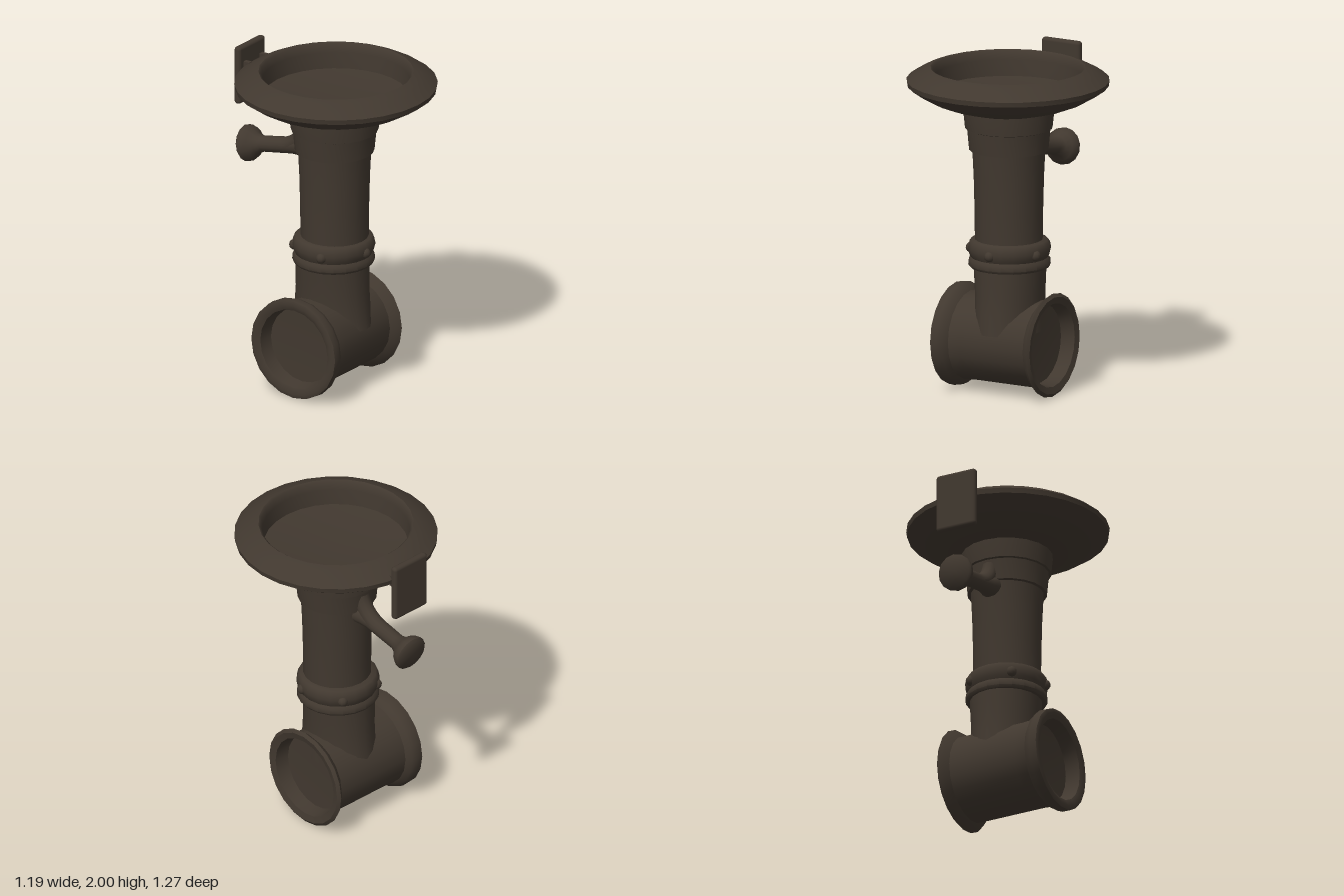
import * as THREE from 'three';
import { toCreasedNormals } from 'three/addons/utils/BufferGeometryUtils.js';
import { RoundedBoxGeometry } from 'three/addons/geometries/RoundedBoxGeometry.js';

const iron = new THREE.MeshStandardMaterial({ color: 0x41382f });
iron.name = 'dark iron';

export function createModel() {
  const model = new THREE.Group();
  model.name = 'pipeFountain';

  const add = (name, geometry, x = 0, y = 0, z = 0) => {
    const mesh = new THREE.Mesh(geometry, iron);
    mesh.name = name;
    mesh.position.set(x, y, z);
    model.add(mesh);
    return mesh;
  };
  // Turned solid from [radius, height] pairs, listed along the outside
  const turned = (profile, sides) => new THREE.LatheGeometry(profile.map(([r, y]) => new THREE.Vector2(r, y)), sides);
  const crease = (g) => toCreasedNormals(g, 0.75);

  // Horizontal tee pipe with flanged, recessed ends
  const tee = turned([
    [0, -0.27], [0.23, -0.28], [0.245, -0.365], [0.28, -0.38], [0.305, -0.372], [0.308, -0.33],
    [0.295, -0.30], [0.265, -0.275], [0.26, -0.2], [0.26, 0.23], [0.29, 0.255], [0.31, 0.28],
    [0.29, 0.295], [0.25, 0.285], [0.235, 0.2], [0, 0.19],
  ], 20);
  tee.rotateZ(-Math.PI / 2);
  add('teePipe', crease(tee), 0, 0.31, 0);

  // Neck, widening front to back where it meets the tee
  const neck = turned([[0.198, 0.38], [0.198, 0.5], [0.2, 0.6], [0.208, 0.7], [0.215, 0.8]], 20);
  const p = neck.attributes.position;
  for (let i = 0; i < p.count; i++) p.setZ(i, p.getZ(i) * (1 + 0.6 * Math.max(0, 0.8 - p.getY(i))));
  neck.computeVertexNormals();
  add('neck', crease(neck), 0, 0, 0.012);

  // Bolted collar
  add('collar', crease(turned([
    [0.19, 0.755], [0.232, 0.76], [0.243, 0.775], [0.24, 0.805], [0.228, 0.82],
    [0.238, 0.84], [0.245, 0.87], [0.238, 0.905], [0.225, 0.922], [0.19, 0.93],
  ], 20)), 0, 0, 0.02);
  for (let i = 0; i < 5; i++) {
    const a = (i / 5) * Math.PI * 2;
    add('collarBolt', new THREE.SphereGeometry(0.032, 10, 8), Math.sin(a) * 0.23, 0.86, 0.02 + Math.cos(a) * 0.23);
  }

  // Column with two stepped sleeves under the basin
  add('column', crease(turned([
    [0.2, 0.9], [0.202, 1.1], [0.207, 1.3], [0.215, 1.462], [0.234, 1.465],
    [0.246, 1.592], [0.258, 1.597], [0.27, 1.71], [0.27, 1.74],
  ], 20)), 0, 0, 0.027);

  // Wide basin with a thick rim and a shallow bowl
  add('basin', crease(turned([
    [0.22, 1.695], [0.29, 1.715], [0.38, 1.74], [0.46, 1.772], [0.53, 1.812], [0.592, 1.855],
    [0.597, 1.885], [0.55, 1.917], [0.49, 1.948], [0.455, 1.96], [0.443, 1.95],
    [0.435, 1.9], [0.425, 1.805], [0.3, 1.79], [0, 1.775],
  ], 28)), 0, 0, 0.037);

  // Upright plate behind the rim, on two small feet
  add('backPlate', new RoundedBoxGeometry(0.262, 0.36, 0.046, 2, 0.02), -0.002, 1.82, -0.59);
  for (const x of [-0.08, 0.08]) add('plateFoot', new THREE.BoxGeometry(0.03, 0.07, 0.05), x, 1.87, -0.55);

  // Handle leaning down and back, ending in a flared knob
  const handle = turned([
    [0.07, 0], [0.058, 0.05], [0.05, 0.1], [0.048, 0.32], [0.062, 0.36],
    [0.09, 0.385], [0.108, 0.415], [0.11, 0.44], [0.098, 0.452], [0, 0.458],
  ], 14);
  handle.rotateX(-Math.PI / 2 - 0.19);
  add('handle', crease(handle), 0, 1.435, -0.175);

  // Curved root joining the handle to the column
  const bend = new THREE.QuadraticBezierCurve3(
    new THREE.Vector3(0, 1.56, -0.175), new THREE.Vector3(0, 1.44, -0.21), new THREE.Vector3(0, 1.405, -0.33));
  add('handleRoot', new THREE.TubeGeometry(bend, 8, 0.05, 12));

  return model;
}
